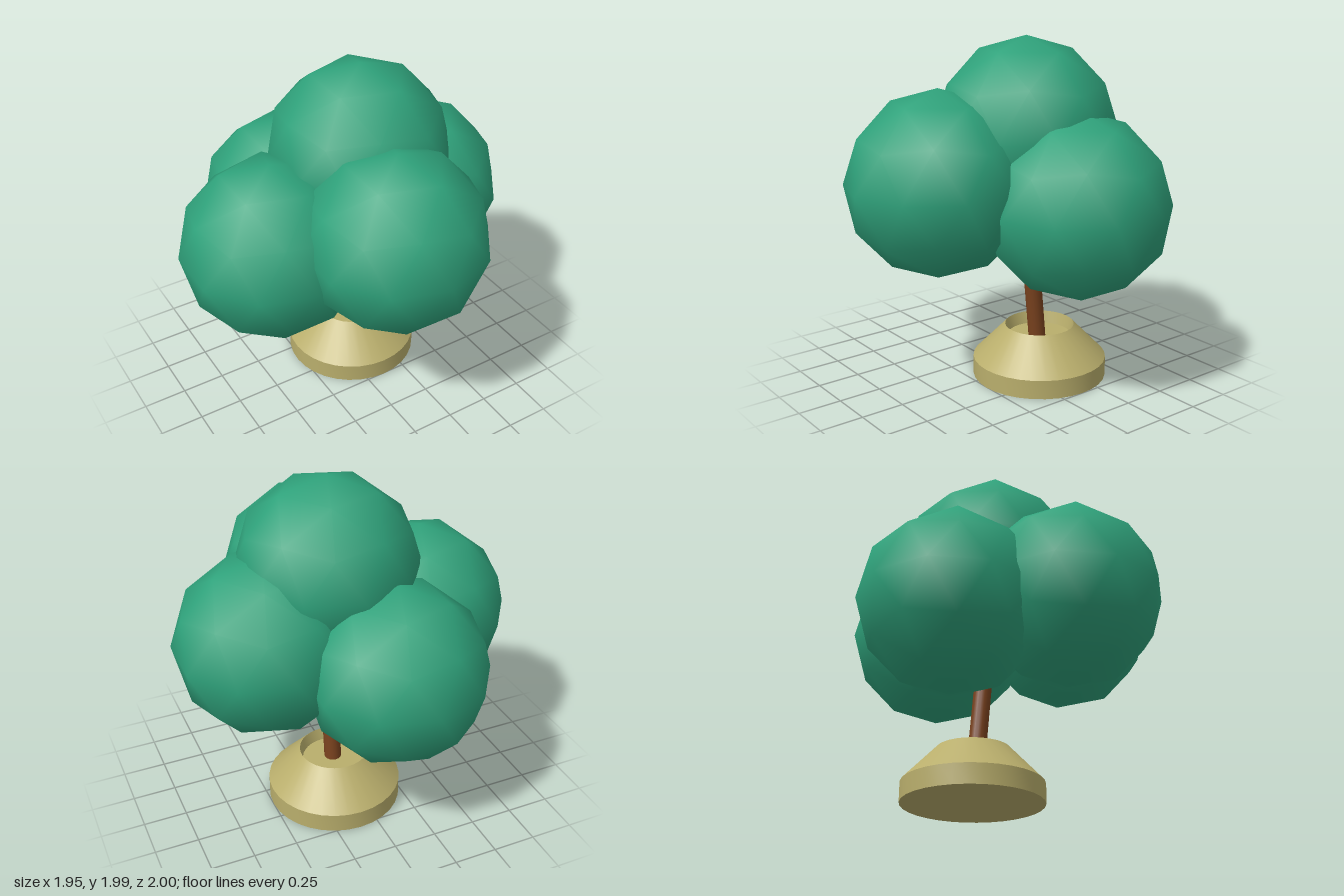
import * as THREE from 'three';
import { toCreasedNormals } from 'three/addons/utils/BufferGeometryUtils.js';

export function createModel() {
  const tree = new THREE.Group();
  tree.name = 'tree';

  const add = (name, geometry, color) => {
    const mesh = new THREE.Mesh(geometry, new THREE.MeshStandardMaterial({ color }));
    mesh.name = name;
    tree.add(mesh);
    return mesh;
  };

  // Foliage: equal smooth-shaded icospheres, turned so one vertex points straight up
  const ball = new THREE.IcosahedronGeometry(0.515, 1);
  ball.rotateZ(-Math.atan(2 / (1 + Math.sqrt(5))));
  const clumps = {
    foliageTop: [0.1, 1.47, -0.035],
    foliageFront: [0, 1.213, 0.48],
    foliageBack: [-0.105, 0.995, -0.485],
    foliageLeft: [0.485, 1.1, -0.085],
    foliageRight: [-0.485, 1.063, 0.02],
  };
  for (const [name, position] of Object.entries(clumps)) {
    add(name, ball, 0x2fa27b).position.set(...position);
  }

  // Trunk: a thin cylinder leaning forward into the foliage
  const bottom = new THREE.Vector3(0.11, 0.2, -0.12);
  const top = new THREE.Vector3(0.11, 1.3, -0.01);
  const along = top.clone().sub(bottom);
  const trunk = add('trunk', new THREE.CylinderGeometry(0.05, 0.05, along.length(), 16), 0x7a421e);
  trunk.position.copy(bottom).add(top).multiplyScalar(0.5);
  trunk.quaternion.setFromUnitVectors(new THREE.Vector3(0, 1, 0), along.normalize());

  // Planter: upright foot, sloping shoulder and a shallow recess for the trunk
  const profile = [[0, 0], [0.39, 0], [0.39, 0.11], [0.202, 0.305], [0.185, 0.235], [0, 0.235]]
    .map(([r, y]) => new THREE.Vector2(r, y));
  const planter = add('planter', toCreasedNormals(new THREE.LatheGeometry(profile, 32), 0.4), 0xb9ae6c);
  planter.position.set(0.11, 0, -0.135);

  return tree;
}
